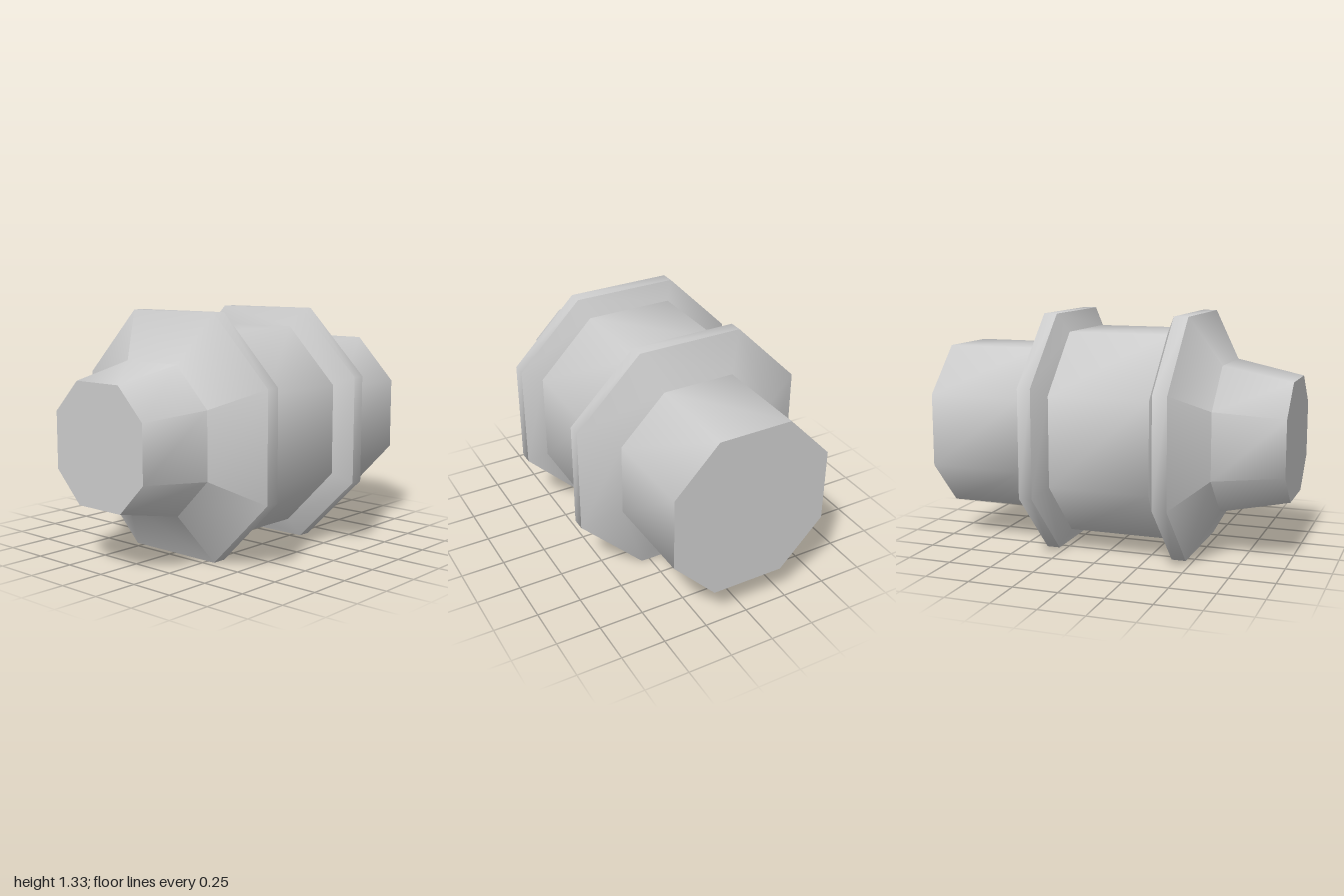
import * as THREE from 'three';
import { toCreasedNormals } from 'three/addons/utils/BufferGeometryUtils.js';

const material = new THREE.MeshStandardMaterial({ color: 0xcccccc });
const AXIS_HEIGHT = 0.667;

// Eight corners of a chamfered square, counter-clockwise seen from the front.
function octagon([z, hx, hy, c]) {
  return [[hx, -c], [hx, c], [c, hy], [-c, hy], [-hx, c], [-hx, -c], [-c, -hy], [c, -hy]]
    .map(([x, y]) => [x, y, z]);
}

// Skin over cross-sections [z, half width, half height, half flat], front to back.
function section(name, rings, { frontCap = false, backCap = false } = {}) {
  const loops = rings.map(octagon);
  const positions = [];
  const tri = (a, b, c) => positions.push(...a, ...b, ...c);
  for (let i = 0; i < loops.length - 1; i++) {
    for (let j = 0; j < 8; j++) {
      const k = (j + 1) % 8;
      const a = loops[i][j], b = loops[i][k], c = loops[i + 1][k], d = loops[i + 1][j];
      tri(a, d, c);
      tri(a, c, b);
    }
  }
  const front = loops[0], back = loops[loops.length - 1];
  for (let j = 1; j < 7; j++) {
    if (frontCap) tri(front[0], front[j], front[j + 1]);
    if (backCap) tri(back[0], back[j + 1], back[j]);
  }
  const geometry = new THREE.BufferGeometry();
  geometry.setAttribute('position', new THREE.Float32BufferAttribute(positions, 3));
  const mesh = new THREE.Mesh(toCreasedNormals(geometry, THREE.MathUtils.degToRad(52)), material);
  mesh.name = name;
  mesh.position.y = AXIS_HEIGHT;
  return mesh;
}

export function createModel() {
  const group = new THREE.Group();
  group.name = 'flangedBarrel';

  // Cross-sections shared by neighbouring parts
  const noseBase = [0.46, 0.665, 0.667, 0.298];
  const barrelFront = [0.33, 0.56, 0.565, 0.25];
  const barrelBack = [-0.235, 0.56, 0.565, 0.25];
  const tailFront = [-0.455, 0.458, 0.462, 0.205];

  group.add(
    // Tapered nozzle flaring out to the front flange
    section('nose', [[1, 0.325, 0.326, 0.155], [0.62, 0.4, 0.402, 0.185], noseBase], { frontCap: true }),
    // Front flange with its bevelled rear side
    section('frontFlange', [noseBase, [0.38, 0.665, 0.667, 0.298], barrelFront]),
    // Main body between the flanges
    section('barrel', [barrelFront, barrelBack]),
    // Rear flange bevelled on both sides
    section('rearFlange', [
      barrelBack, [-0.29, 0.665, 0.667, 0.298], [-0.365, 0.665, 0.667, 0.298], tailFront,
    ]),
    // Straight tail with a flat end
    section('tail', [tailFront, [-1, 0.45, 0.462, 0.205]], { backCap: true }),
  );
  return group;
}
